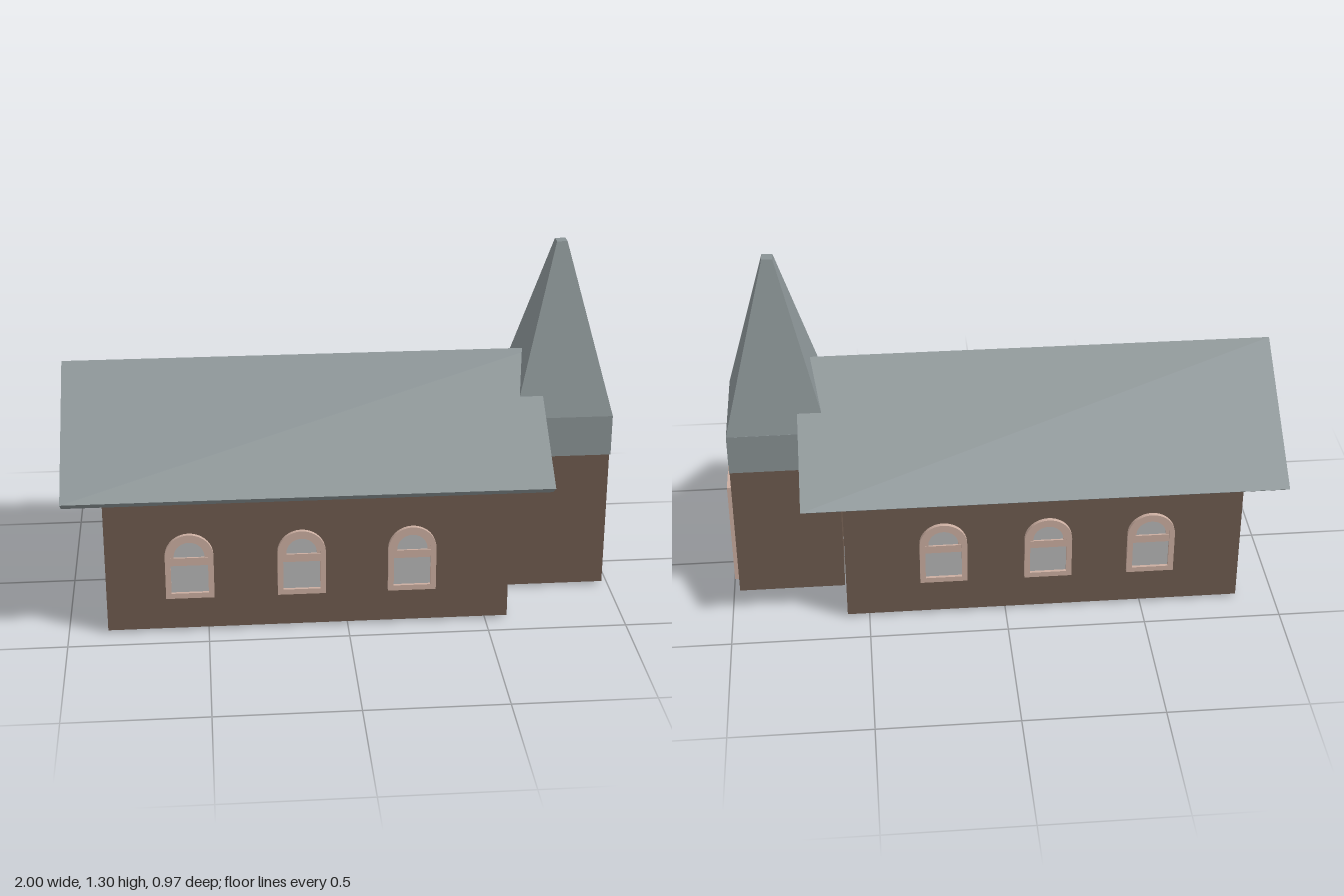
import * as THREE from 'three';

const material = (name, color) => {
  const m = new THREE.MeshStandardMaterial({ color });
  m.name = name;
  return m;
};

export function createModel() {
  const model = new THREE.Group();
  model.name = 'chapel';
  const brown = material('brown wall', 0x6d5a4e);
  const slate = material('slate roof', 0x899294);
  const pink = material('pale pink trim', 0xcaada0);
  const glass = material('grey glass', 0xb5b5b5);

  const add = (parent, name, geometry, mat) => {
    const mesh = new THREE.Mesh(geometry, mat);
    mesh.name = name;
    parent.add(mesh);
    return mesh;
  };
  // Box given by its limits on each axis
  const box = (parent, name, [x0, x1], [y0, y1], [z0, z1], mat) =>
    add(parent, name, new THREE.BoxGeometry(x1 - x0, y1 - y0, z1 - z0)
      .translate((x0 + x1) / 2, (y0 + y1) / 2, (z0 + z1) / 2), mat);
  // Profile of [z, y] points drawn out along x
  const alongX = (points, x0, x1) => {
    const shape = new THREE.Shape(points.map(([z, y]) => new THREE.Vector2(-z, y)));
    return new THREE.ExtrudeGeometry(shape, { depth: x1 - x0, bevelEnabled: false })
      .rotateY(Math.PI / 2).translate(x0, 0, 0);
  };

  // Nave walls with gables, and the overhanging roof
  add(model, 'nave', alongX(
    [[0.41, 0.01], [0.41, 0.515], [0, 0.806], [-0.375, 0.54], [-0.375, 0.01]], -0.86, 0.58), brown);
  add(model, 'naveRoof', alongX(
    [[0, 0.89], [0.483, 0.545], [0.43, 0.507], [0, 0.81], [-0.43, 0.507], [-0.483, 0.545]], -1, 0.725), slate);

  // Tower, roof collar and blunt spire
  box(model, 'tower', [0.587, 0.978], [0.01, 0.54], [-0.198, 0.18], brown);
  box(model, 'spireCollar', [0.62, 0.98], [0.538, 0.69], [-0.2, 0.193], slate);
  const spire = new THREE.CylinderGeometry(0.019 * Math.SQRT2, 0.18 * Math.SQRT2, 0.61, 4, 1)
    .toNonIndexed().rotateY(Math.PI / 4).scale(1, 1, 1.09).translate(0.8, 0.995, -0.003);
  spire.computeVertexNormals();
  add(model, 'spire', spire, slate);

  // Arched outline: half width w, sill at y0, arch springing at y1
  const arch = (Type, w, y0, y1) => {
    const s = new Type();
    s.moveTo(-w, y0);
    s.lineTo(w, y0);
    s.lineTo(w, y1);
    s.absarc(0, y1, w, 0, Math.PI, false);
    s.lineTo(-w, y0);
    return s;
  };
  const ring = (outer, hole, depth) => {
    outer.holes.push(hole);
    return new THREE.ExtrudeGeometry(outer, { depth, bevelEnabled: false, curveSegments: 14 });
  };

  const makeWindow = () => {
    const g = new THREE.Group();
    g.name = 'archedWindow';
    add(g, 'windowFrame', ring(arch(THREE.Shape, 0.086, 0, 0.163),
      arch(THREE.Path, 0.066, 0.02, 0.163), 0.015), pink);
    add(g, 'upperSash', ring(arch(THREE.Shape, 0.066, 0.155, 0.163),
      arch(THREE.Path, 0.054, 0.158, 0.163), 0.009), pink);
    box(g, 'windowBar', [-0.068, 0.068], [0.128, 0.158], [0, 0.011], pink);
    add(g, 'windowGlass', new THREE.ShapeGeometry(arch(THREE.Shape, 0.067, 0.018, 0.163), 14)
      .translate(0, 0, 0.004), glass);
    return g;
  };
  for (const x of [-0.563, -0.165, 0.23]) {
    const w = makeWindow();
    w.position.set(x, 0.136, 0.41);
    model.add(w);
  }
  for (const x of [-0.53, -0.155, 0.225]) {
    const w = makeWindow();
    w.position.set(x, 0.147, -0.375);
    w.rotation.y = Math.PI;
    model.add(w);
  }

  // Glazed door at the tower's end
  const door = new THREE.Group();
  door.name = 'door';
  model.add(door);
  for (const [z0, z1] of [[-0.111, -0.09], [0.041, 0.062]])
    box(door, 'doorJamb', [0.975, 1], [0, 0.416], [z0, z1], pink);
  box(door, 'doorLintel', [0.975, 1], [0.396, 0.416], [-0.09, 0.041], pink);
  box(door, 'doorRail', [0.975, 0.992], [0.255, 0.287], [-0.09, 0.041], pink);
  box(door, 'doorGlass', [0.977, 0.984], [0.005, 0.396], [-0.09, 0.041], glass);

  return model;
}
